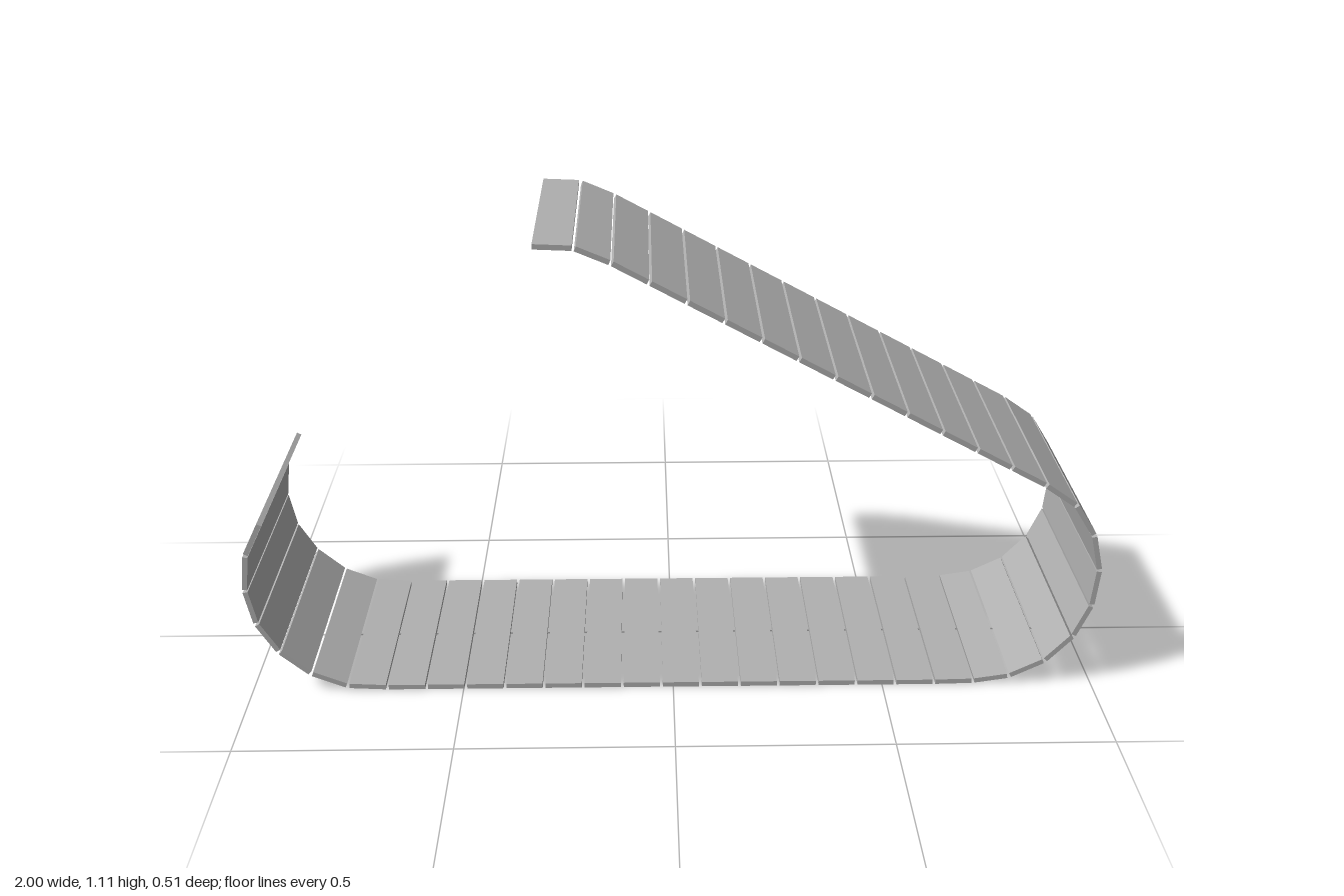
import * as THREE from 'three';

export function createModel() {
  const group = new THREE.Group();
  group.name = 'trackBelt';
  const steel = new THREE.MeshStandardMaterial({ color: 0xb0b0b0 });
  steel.name = 'steelGrey';

  const WIDTH = 0.506, THICK = 0.012, GAP = 0.007;

  // Joints between links, from the rear end, along the ground and up to the top end
  const joints = [[-0.942, 0.447], [-0.983, 0.364], [-0.993, 0.272], [-0.975, 0.184],
    [-0.929, 0.108], [-0.859, 0.047], [-0.775, 0.012]];
  // Ground run
  for (let i = 1; i < 16; i++) joints.push([-0.775 + i * 0.0933, 0.007]);
  // Front curve
  joints.push([0.718, 0.009], [0.803, 0.022], [0.885, 0.063], [0.947, 0.13], [0.983, 0.213],
    [0.992, 0.307], [0.971, 0.398], [0.922, 0.476], [0.848, 0.528]);
  // Sloping run
  for (let i = 1; i <= 12; i++) joints.push([0.848 - i * 0.0818, 0.528 + i * 0.0447]);
  // Top end
  joints.push([-0.213, 1.098], [-0.305, 1.102]);

  // One flat plate per link
  for (let i = 0; i < joints.length - 1; i++) {
    const [ax, ay] = joints[i], [bx, by] = joints[i + 1];
    const length = Math.hypot(bx - ax, by - ay) - GAP;
    const link = new THREE.Mesh(new THREE.BoxGeometry(length, THICK, WIDTH), steel);
    link.name = 'trackLink' + (i + 1);
    link.position.set((ax + bx) / 2, (ay + by) / 2, 0);
    link.rotation.z = Math.atan2(by - ay, bx - ax);
    group.add(link);
  }
  return group;
}
